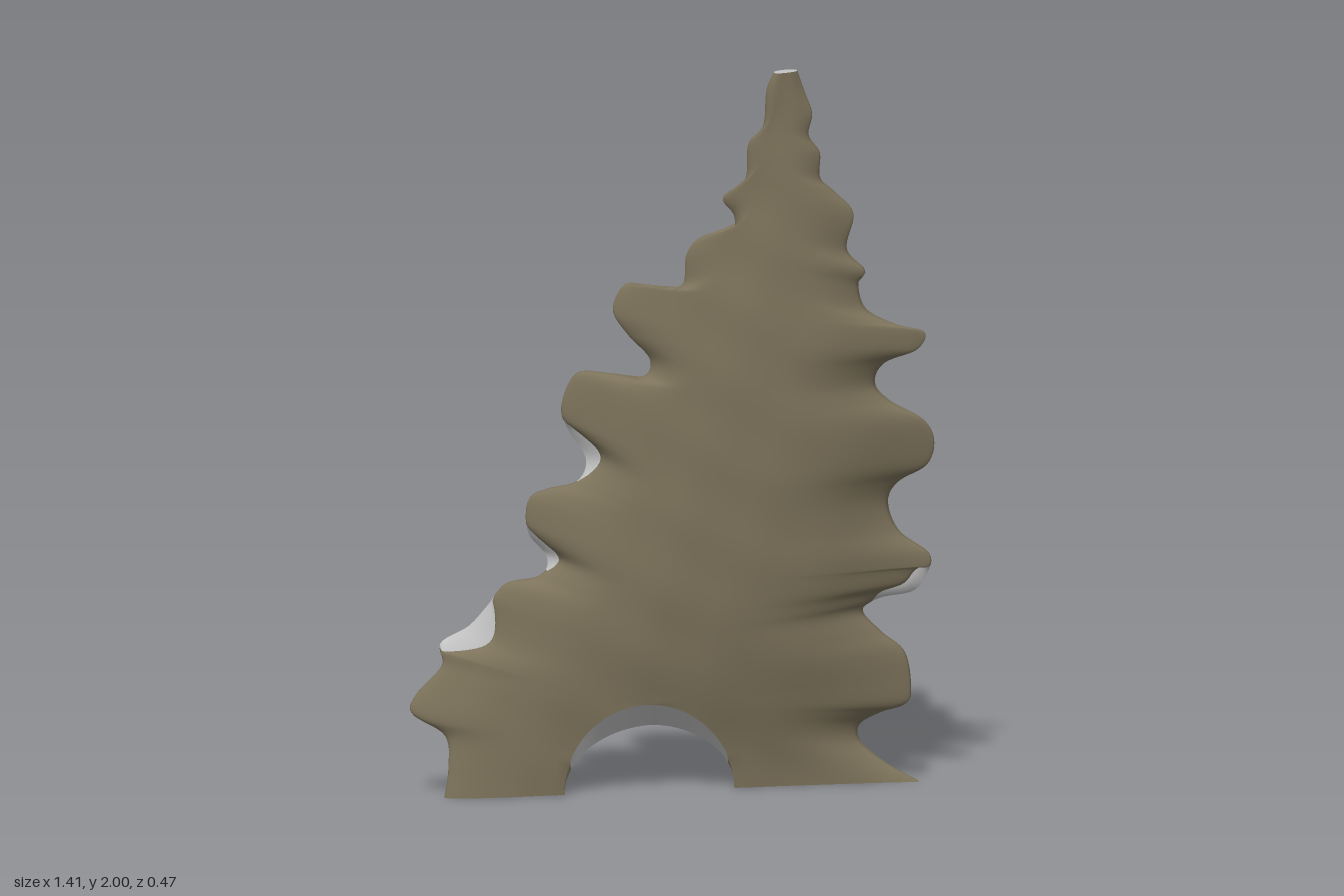
import * as THREE from 'three';
import { mergeVertices } from 'three/addons/utils/BufferGeometryUtils.js';

const ROWS = 240, ARCH = 40, COLS = 16;

// Jagged edges, foot to tip, as x, y pairs
const LEFT_EDGE = [-.61, 0, -.6, .08, -.61, .17, -.7, .23, -.69, .28, -.62, .36, -.625, .42, -.55, .465, -.5, .52,
  -.45, .58, -.36, .6, -.34, .65, -.39, .72, -.39, .81, -.34, .84, -.26, .86, -.235, .92, -.28, 1, -.3, 1.07,
  -.26, 1.16, -.17, 1.16, -.08, 1.15, -.06, 1.2, -.12, 1.27, -.16, 1.34, -.12, 1.41, -.03, 1.385, .03, 1.41,
  .04, 1.49, .08, 1.54, .16, 1.55, .17, 1.6, .14, 1.65, .2, 1.7, .21, 1.8, .25, 1.85, .26, 1.95, .28, 2];
const RIGHT_EDGE = [.65, 0, .56, .05, .49, .11, .49, .16, .55, .195, .61, .215, .63, .25, .615, .36, .55, .42,
  .5, .48, .55, .515, .64, .535, .68, .59, .68, .64, .6, .7, .57, .78, .6, .84, .68, .89, .7, .96, .67, 1.02,
  .58, 1.07, .54, 1.12, .57, 1.18, .66, 1.22, .68, 1.27, .6, 1.29, .52, 1.33, .5, 1.4, .52, 1.44, .47, 1.5,
  .49, 1.6, .44, 1.66, .4, 1.7, .4, 1.77, .37, 1.82, .38, 1.88, .36, 1.94, .34, 2];

// Smooth reach of the lobes, every 0.4 in height
const LEFT_REACH = [-.68, -.62, -.4, -.24, .1, .27];
const RIGHT_REACH = [.65, .66, .69, .66, .5, .35];

// Depth of the two faces: rows go up, columns go from the right edge of the body (-x) to the left (+x)
const FRONT = [[.265, .16, .04, -.07, -.15], [.205, .17, .1, .02, -.11], [.15, .14, .11, .05, -.09],
  [.135, .13, .12, .08, -.01], [.11, .11, .11, .09, .04], [.12, .12, .11, .095, .075]];
const BACK = [[.18, .07, -.06, -.245, -.2], [.14, .01, -.13, -.21, -.17], [.09, -.02, -.14, -.235, -.14],
  [.08, .02, -.08, -.15, -.04], [.075, .04, 0, -.025, .01], [.085, .07, .055, .05, .05]];

// Broken patches of the edge: side, lowest and highest y, and how far they are chipped back in x and y
const BREAKS = [[-1, .4, .54, .05, -.05], [-1, .61, .74, .04, -.01], [-1, .86, 1.03, .045, 0],
  [1, .505, .6, -.02, .035]];

// Smooth interpolation through evenly spaced values, t in 0..1
function smooth(values, t) {
  const n = values.length - 1, f = Math.min(Math.max(t, 0), 1) * n;
  const i = Math.min(Math.floor(f), n - 1), k = f - i;
  const at = (j) => values[Math.min(Math.max(j, 0), n)];
  const a = at(i - 1), b = at(i), c = at(i + 1), d = at(i + 2);
  return b + 0.5 * k * (c - a + k * (2 * a - 5 * b + 4 * c - d + k * (3 * (b - c) + d - a)));
}

function edgePoints(list) {
  const pts = [];
  for (let i = 0; i < list.length; i += 2) pts.push(new THREE.Vector2(list[i], list[i + 1]));
  return new THREE.SplineCurve(pts).getSpacedPoints(ROWS);
}

const depth = (table, u, v) => smooth(table.map((row) => smooth(row, u)), v);

const findBreak = (side, y) => BREAKS.find(([s, lo, hi]) => s === side && y > lo && y < hi);

// Inner line: half of the arch, then the spine up to the tip
function innerPoint(i, side) {
  const top = .245;
  if (i < ARCH) {
    const a = i / ARCH * Math.PI / 2;
    return new THREE.Vector2(-.065 + side * .225 * Math.cos(a), top * Math.sin(a));
  }
  const k = (i - ARCH) / (ROWS - ARCH);
  return new THREE.Vector2(-.065 + .375 * k, top + (2 - top) * k);
}

// One face of one half, as a grid of points from the inner line to the edge
function faceGrid(edge, side, isFront) {
  return edge.map((outer, i) => {
    const inner = innerPoint(i, side);
    const rim = outer.clone();
    const chip = findBreak(side, outer.y);
    if (chip) {
      const amount = Math.sin(Math.PI * (outer.y - chip[1]) / (chip[2] - chip[1])) * (isFront ? 1 : .4);
      rim.x += chip[3] * amount;
      rim.y += chip[4] * amount;
    }
    const reach = smooth(side < 0 ? LEFT_REACH : RIGHT_REACH, outer.y / 2);
    const notch = Math.min(Math.max(side * (reach - outer.x), 0), .2);
    const row = [];
    for (let j = 0; j <= COLS; j++) {
      const s = Math.sin(j / COLS * Math.PI / 2);
      const p = inner.clone().lerp(rim, s), v = p.y / 2;
      const l = smooth(LEFT_REACH, v), r = smooth(RIGHT_REACH, v);
      const u = (p.x - l) / (r - l);
      const f = depth(FRONT, u, v), b = depth(BACK, u, v), mid = (f + b) / 2;
      // Thin towards the edge, with short grooves running in from the notches
      const swell = .25 + .75 * Math.sqrt(1 - s ** 4);
      const groove = .13 * notch * s ** 4 * swell;
      const bump = .003 * Math.sin(p.x * 23 + p.y * 9) * Math.sin(p.y * 19 - p.x * 7) * (1 - s);
      // Legs taper to a thin inner edge at the feet
      const taper = .85 * (1 - s) ** 5 * Math.max(1 - i / ARCH, 0);
      const backZ = mid + (b - mid) * swell + groove;
      const z = isFront ? mid + (f - mid) * swell - groove + bump : backZ + (f - backZ) * taper;
      row.push(new THREE.Vector3(p.x, p.y, z));
    }
    return row;
  });
}

function quad(out, a, b, c, d, flip) {
  for (const p of flip ? [a, c, b, a, d, c] : [a, b, c, a, c, d]) out.push(p.x, p.y, p.z);
}

function makeMesh(name, positions, material, welded) {
  let geometry = new THREE.BufferGeometry();
  geometry.setAttribute('position', new THREE.Float32BufferAttribute(positions, 3));
  if (welded) geometry = mergeVertices(geometry, 1e-5);
  geometry.computeVertexNormals();
  const mesh = new THREE.Mesh(geometry, material);
  mesh.name = name;
  return mesh;
}

export function createModel() {
  const brown = new THREE.MeshStandardMaterial({ color: 0x7d735b });
  brown.name = 'brown';
  const grey = new THREE.MeshStandardMaterial({ color: 0xc4c4c4, side: THREE.DoubleSide });
  grey.name = 'pale grey';

  const body = [], arch = [], broken = [], feet = [], tip = [];
  for (const [side, list] of [[-1, LEFT_EDGE], [1, RIGHT_EDGE]]) {
    const edge = edgePoints(list);
    const front = faceGrid(edge, side, true), back = faceGrid(edge, side, false);
    const flip = side > 0;
    // Middle lines of the jagged rim and of the arch, whose lip hangs lowest between the faces
    const crest = edge.map((p, i) => new THREE.Vector3(p.x, p.y, (front[i][COLS].z + back[i][COLS].z) / 2));
    const lip = front.slice(0, ARCH + 1).map(([f], i) => {
      const p = f.clone().lerp(back[i][0], .45);
      p.y *= .72;
      return p;
    });
    for (let i = 0; i < ROWS; i++) {
      // Front and back faces
      for (let j = 0; j < COLS; j++) {
        quad(body, front[i][j], front[i + 1][j], front[i + 1][j + 1], front[i][j + 1], flip);
        quad(body, back[i][j], back[i + 1][j], back[i + 1][j + 1], back[i][j + 1], !flip);
      }
      // Jagged rim, pale where it is broken
      const rim = findBreak(side, edge[i].y) ? broken : body;
      quad(rim, front[i][COLS], front[i + 1][COLS], crest[i + 1], crest[i], flip);
      quad(rim, crest[i], crest[i + 1], back[i + 1][COLS], back[i][COLS], flip);
      // Underside of the arch, pale in front and above the feet
      if (i < ARCH) {
        quad(i < 10 ? body : arch, front[i][0], front[i + 1][0], lip[i + 1], lip[i], !flip);
        quad(body, lip[i], lip[i + 1], back[i + 1][0], back[i][0], !flip);
      }
    }
    // Flat cuts at the feet and the tip
    for (let j = 0; j < COLS; j++) {
      quad(feet, front[0][j], front[0][j + 1], back[0][j + 1], back[0][j], flip);
      quad(tip, front[ROWS][j], front[ROWS][j + 1], back[ROWS][j + 1], back[ROWS][j], !flip);
    }
  }

  const model = new THREE.Group();
  model.name = 'jaggedSpire';
  model.add(
    makeMesh('body', body, brown, true),
    makeMesh('archUnderside', arch, grey, true),
    makeMesh('brokenEdges', broken, grey, true),
    makeMesh('footCuts', feet, grey, false),
    makeMesh('tipCut', tip, grey, false),
  );
  return model;
}
